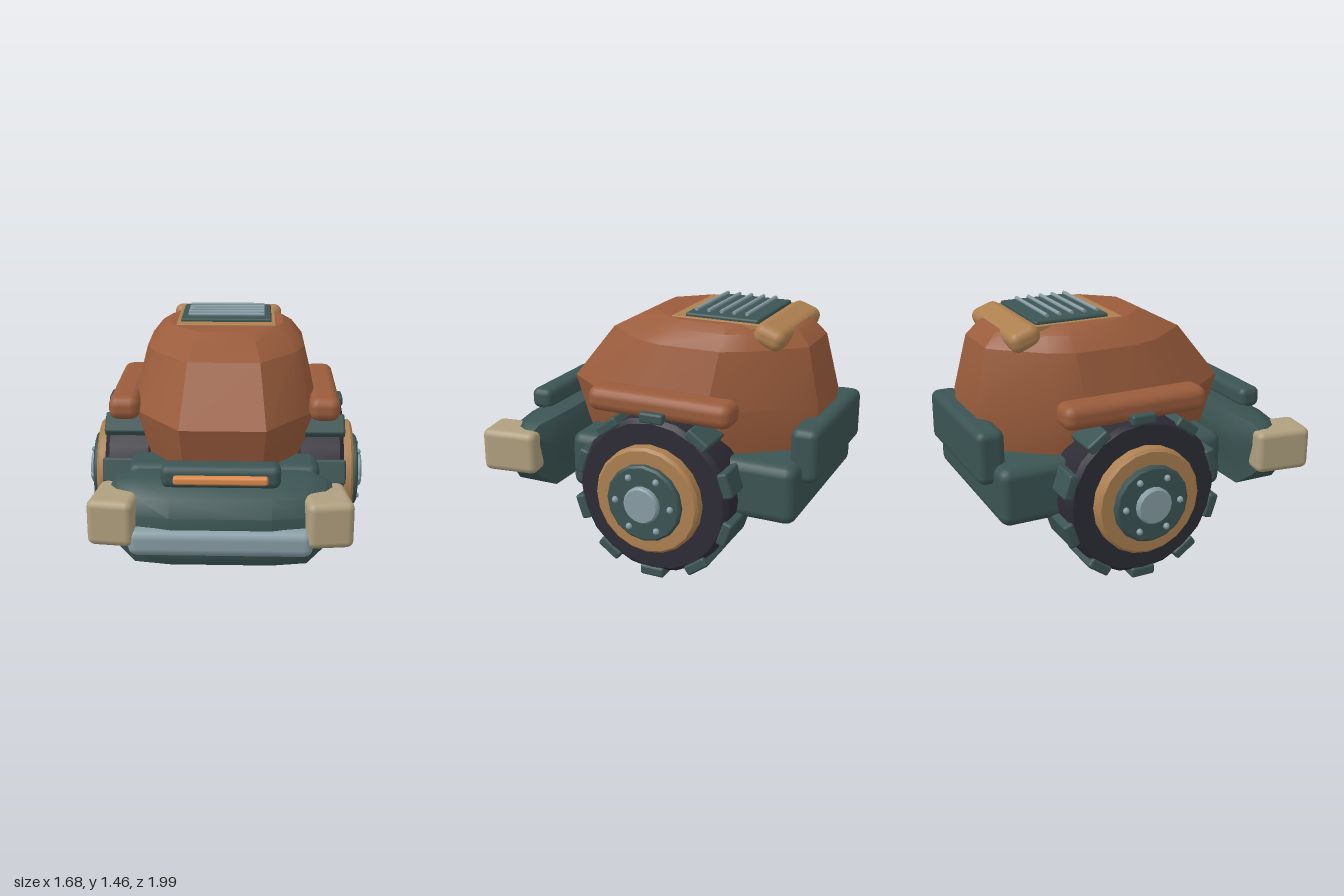
import * as THREE from 'three';
import { toCreasedNormals } from 'three/addons/utils/BufferGeometryUtils.js';
import { RoundedBoxGeometry } from 'three/addons/geometries/RoundedBoxGeometry.js';

const material = (name, color) => {
  const m = new THREE.MeshStandardMaterial({ color });
  m.name = name;
  return m;
};

export function createModel() {
  const rust = material('rust', 0x9a5c3c);
  const teal = material('dark teal', 0x3b5453);
  const tan = material('tan', 0xad8050);
  const beige = material('beige', 0xb0a07f);
  const steel = material('steel', 0x889da5);
  const rubber = material('rubber', 0x2d2c36);
  const orange = material('orange', 0xdc8a4c);

  const model = new THREE.Group();
  const add = (name, geo, mat, x = 0, y = 0, z = 0, parent = model) => {
    const mesh = new THREE.Mesh(geo, mat);
    mesh.name = name;
    mesh.position.set(x, y, z);
    parent.add(mesh);
    return mesh;
  };

  // Rounded box given by its min and max on each axis
  const block = (name, mat, [x0, x1], [y0, y1], [z0, z1], r, parent = model) =>
    add(name, new RoundedBoxGeometry(x1 - x0, y1 - y0, z1 - z0, 2, r), mat,
      (x0 + x1) / 2, (y0 + y1) / 2, (z0 + z1) / 2, parent);

  // Closed skin through equal-length rings, capped at both ends
  const loft = (rings, crease) => {
    const n = rings[0].length;
    const pos = rings.flat(2);
    const index = [];
    for (let i = 0; i < rings.length - 1; i++) {
      for (let j = 0; j < n; j++) {
        const a = i * n + j, b = i * n + (j + 1) % n;
        index.push(a, b, b + n, a, b + n, a + n);
      }
    }
    [0, rings.length - 1].forEach((i, end) => {
      const c = pos.length / 3;
      for (let k = 0; k < 3; k++) pos.push(rings[i].reduce((s, p) => s + p[k], 0) / n);
      for (let j = 0; j < n; j++) {
        const a = i * n + j, b = i * n + (j + 1) % n;
        index.push(...(end ? [c, a, b] : [c, b, a]));
      }
    });
    const geo = new THREE.BufferGeometry();
    geo.setAttribute('position', new THREE.Float32BufferAttribute(pos, 3));
    geo.setIndex(index);
    return toCreasedNormals(geo, crease);
  };

  // Body shell: one plan outline, resized at each height
  const plan = [[0.24, 0.57], [0.48, 0.25], [0.545, 0.05], [0.545, -0.41],
    [0.47, -0.58], [0.25, -0.86], [0.19, -0.92]];
  const outline = [...plan, ...plan.map(([x, z]) => [-x, z]).reverse()];
  const levels = [ // height, half width, front z, back z
    [0.5, 0.43, 0.45, -0.88], [0.72, 0.5, 0.51, -0.9], [0.97, 0.545, 0.58, -0.92],
    [1.29, 0.465, 0.33, -0.845], [1.37, 0.4, 0.18, -0.77], [1.41, 0.34, 0.1, -0.68]];
  add('bodyShell', loft(levels.map(([y, w, front, back]) => outline.map(([x, z]) =>
    [x * w / 0.545, y, back + (z + 0.92) / 1.49 * (front - back)])), 0.4), rust);

  // Chassis and rear tank
  block('chassis', teal, [-0.55, 0.55], [0.385, 0.72], [-0.92, 0.45], 0.06);
  block('rearTank', teal, [-0.43, 0.43], [0.6, 0.905], [-1, -0.84], 0.045);

  // Roof deck with rear ears, vent panel and louvre bars
  block('roofDeck', tan, [-0.295, 0.295], [1.385, 1.415], [-0.62, -0.08], 0.005);
  add('roofEars', new RoundedBoxGeometry(0.68, 0.12, 0.18, 3, 0.05), tan, 0, 1.355, -0.665)
    .rotation.x = -0.35;
  block('ventPanel', teal, [-0.272, 0.272], [1.405, 1.435], [-0.59, -0.155], 0.012);
  for (let i = 0; i < 5; i++) {
    const bar = new THREE.CylinderGeometry(0.011, 0.011, 0.46, 8).rotateZ(Math.PI / 2);
    add('ventBar', bar, steel, 0, 1.45, -0.205 - i * 0.075);
  }

  // Bumper: chamfered cross-section lofted across the width
  const section = [[0, 0.8], [0.1, 1], [0.5, 1], [0.85, 0.85], [1, 0.65],
    [1, 0.15], [0.9, 0], [0.12, 0], [0.1, 0.33], [0, 0.62]];
  const spans = [ // x, z range, y range
    [0.61, 0.66, 0.79, 0.47, 0.7], [0.56, 0.63, 0.85, 0.41, 0.74],
    [0.46, 0.575, 0.91, 0.33, 0.76], [0.27, 0.565, 0.95, 0.33, 0.76]];
  const across = [...spans.map(([x, ...r]) => [-x, ...r]), ...[...spans].reverse()];
  add('bumper', loft(across.map(([x, z0, z1, y0, y1]) => section.map(([u, v]) =>
    [x, y0 + v * (y1 - y0), z0 + u * (z1 - z0)])), 0.6), teal);
  block('bumperBar', steel, [-0.49, 0.49], [0.4, 0.55], [0.86, 0.985], 0.05);
  block('lightBarHousing', teal, [-0.318, 0.318], [0.74, 0.865], [0.725, 0.86], 0.04);
  block('lightBar', orange, [-0.25, 0.25], [0.775, 0.82], [0.84, 0.895], 0.015);

  // Turned part about the x axis from [radius, x] points
  const turned = (points, sides) => toCreasedNormals(
    new THREE.LatheGeometry(points.map(([r, x]) => new THREE.Vector2(r, x)), sides)
      .rotateZ(-Math.PI / 2), 0.5);

  const tireGeo = turned([[0, 0.42], [0.43, 0.42], [0.455, 0.445], [0.455, 0.675],
    [0.43, 0.7], [0, 0.7]], 20);
  const rimGeo = turned([[0.31, 0.69], [0.31, 0.755], [0.295, 0.77], [0, 0.77]], 20);
  const hubGeo = turned([[0.222, 0.76], [0.222, 0.795], [0.21, 0.805], [0, 0.805]], 16);
  const capGeo = turned([[0.105, 0.8], [0.105, 0.828], [0.095, 0.838], [0, 0.838]], 16);
  const treadGeo = new RoundedBoxGeometry(0.29, 0.06, 0.145, 2, 0.015);

  for (const side of [1, -1]) {
    const label = side > 0 ? 'left' : 'right';

    // Wheel with treads, rim, hub and bolts
    const wheel = new THREE.Group();
    wheel.name = label + 'Wheel';
    wheel.position.set(0, 0.487, -0.148);
    if (side < 0) wheel.rotation.y = Math.PI;
    model.add(wheel);
    add('tire', tireGeo, rubber, 0, 0, 0, wheel);
    add('rim', rimGeo, tan, 0, 0, 0, wheel);
    add('hub', hubGeo, teal, 0, 0, 0, wheel);
    add('hubCap', capGeo, steel, 0, 0, 0, wheel);
    for (let i = 0; i < 10; i++) {
      const a = i * Math.PI / 5;
      add('tread', treadGeo, teal, 0.562, Math.cos(a) * 0.457, Math.sin(a) * 0.457, wheel)
        .rotation.x = a;
    }
    for (let i = 0; i < 6; i++) {
      const a = i * Math.PI / 3;
      add('bolt', new THREE.SphereGeometry(0.019, 8, 6), steel,
        0.81, Math.sin(a) * 0.166, Math.cos(a) * 0.166, wheel);
    }

    // Side rail and corner lamp
    add(label + 'SideRail', new RoundedBoxGeometry(0.18, 0.14, 0.86, 2, 0.055), rust,
      side * 0.58, 0.99, -0.16);
    add(label + 'CornerLamp', new RoundedBoxGeometry(0.25, 0.255, 0.335, 2, 0.04), beige,
      side * 0.56, 0.583, 0.812).rotation.y = side * 0.13;
  }
  return model;
}
